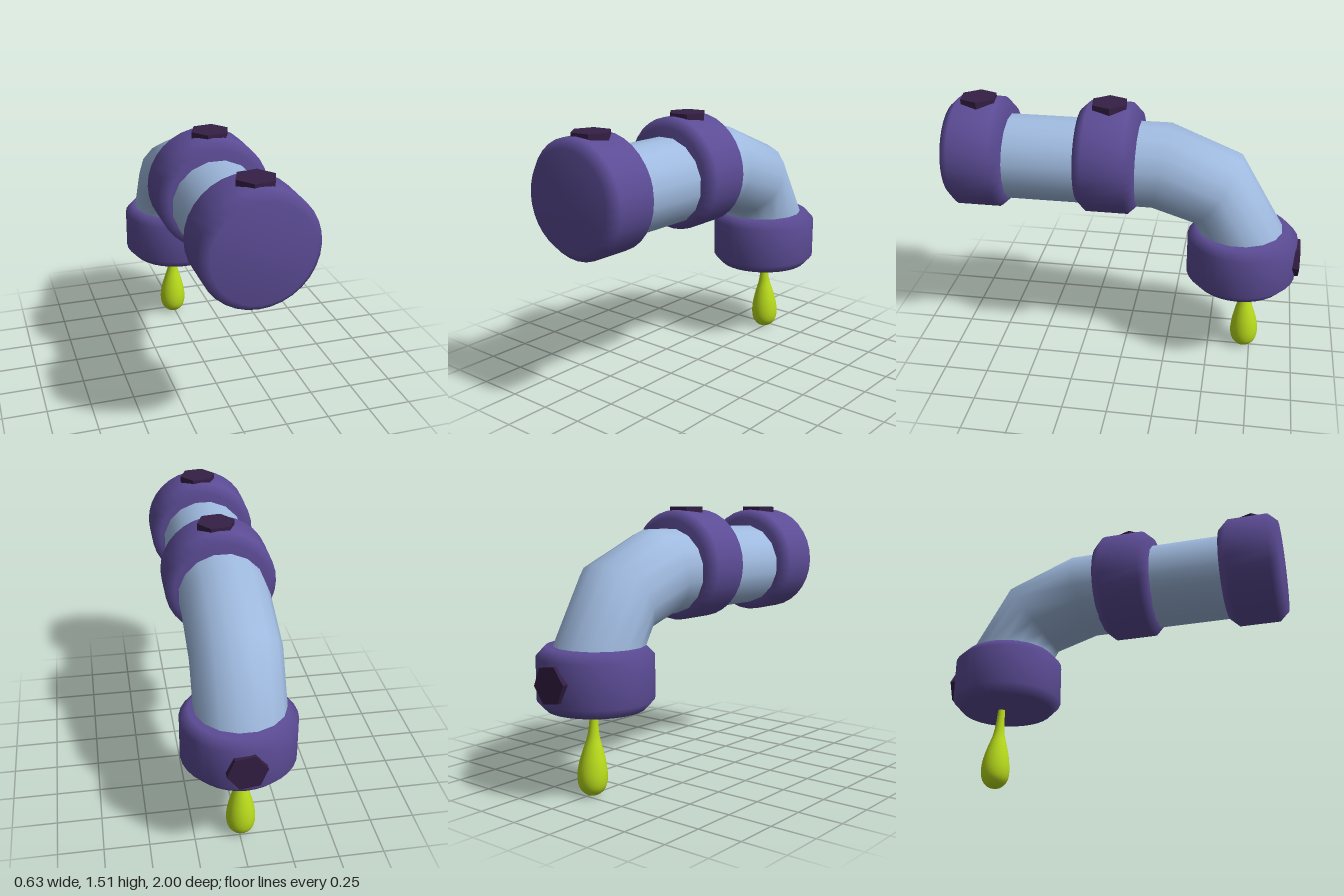
import * as THREE from 'three';

const mat = (color, extra = {}) => new THREE.MeshStandardMaterial({ color, ...extra });
const purple = mat(0x5c4c96);
const dark = mat(0x351f45, { flatShading: true });
const blue = mat(0x9fbadf);
const green = mat(0xb9dc1c);

function mesh(name, geometry, material) {
  const m = new THREE.Mesh(geometry, material);
  m.name = name;
  return m;
}

const lathe = (points, sides) =>
  new THREE.LatheGeometry(points.map(([r, y]) => new THREE.Vector2(r, y)), sides);

// Bent pipe: each section is a mitred ellipse [top y, top z, bottom y, bottom z]
function pipeGeometry() {
  const sections = [
    [1.395, 0.9, 0.92, 0.9],
    [1.395, -0.24, 0.92, -0.15],
    [1.23, -0.64, 0.85, -0.38],
    [0.8, -0.892, 0.8, -0.41],
    [0.6, -0.9, 0.6, -0.42],
  ];
  const sides = 16, halfWidth = 0.247, positions = [], index = [];
  sections.forEach(([ty, tz, by, bz], s) => {
    for (let i = 0; i < sides; i++) {
      const a = ((i + 0.5) / sides) * Math.PI * 2;
      const k = Math.sin(a) / Math.cos(Math.PI / sides) / 2;
      positions.push(Math.cos(a) * halfWidth, (ty + by) / 2 + (ty - by) * k, (tz + bz) / 2 + (tz - bz) * k);
      if (s === sections.length - 1) continue;
      const p = s * sides + i, q = s * sides + ((i + 1) % sides);
      index.push(p, p + sides, q, q, p + sides, q + sides);
    }
  });
  const g = new THREE.BufferGeometry();
  g.setAttribute('position', new THREE.Float32BufferAttribute(positions, 3));
  g.setIndex(index);
  g.computeVertexNormals();
  return g;
}

// Chamfered collar around the z axis with one hexagonal bolt on top
function collar(name) {
  const group = new THREE.Group();
  group.name = name;
  const ring = lathe([[0, -0.168], [0.264, -0.168], [0.313, -0.115], [0.313, 0.115], [0.264, 0.168], [0, 0.168]], 32);
  ring.rotateX(Math.PI / 2);
  const head = new THREE.CylinderGeometry(0.107, 0.107, 0.06, 6, 1, false, THREE.MathUtils.degToRad(38));
  head.translate(0.01, 0.3, 0);
  group.add(mesh(name + 'Ring', ring, purple), mesh(name + 'Bolt', head, dark));
  return group;
}

export function createModel() {
  const model = new THREE.Group();
  model.name = 'drippingPipe';

  const pipe = mesh('pipe', pipeGeometry(), blue);
  pipe.position.x = -0.01;
  model.add(pipe);

  // Collars: closed front end, middle joint, and downward outlet
  const front = collar('frontCollar');
  front.position.set(-0.008, 1.18, 0.832);
  const middle = collar('middleCollar');
  middle.position.set(-0.008, 1.187, 0.095);
  const outlet = collar('outletCollar');
  outlet.rotation.x = -Math.PI / 2;
  outlet.position.set(0, 0.64, -0.667);
  model.add(front, middle, outlet);

  // Teardrop hanging from the outlet, its neck leaning slightly forward
  const curve = new THREE.SplineCurve([
    [0, 0.003], [0.04, 0.014], [0.071, 0.05], [0.081, 0.105], [0.074, 0.175],
    [0.055, 0.25], [0.034, 0.32], [0.024, 0.4], [0.02, 0.5],
  ].map(([r, y]) => new THREE.Vector2(r, y)));
  const drop = new THREE.LatheGeometry(curve.getPoints(28).map((p) => p.set(Math.max(p.x, 0), p.y)), 24);
  const pos = drop.attributes.position;
  for (let i = 0; i < pos.count; i++) {
    pos.setZ(i, pos.getZ(i) + 0.02 * Math.max(0, (pos.getY(i) - 0.15) / 0.35));
  }
  const drip = mesh('drip', drop, green);
  drip.position.set(-0.01, 0, -0.713);
  model.add(drip);

  return model;
}
